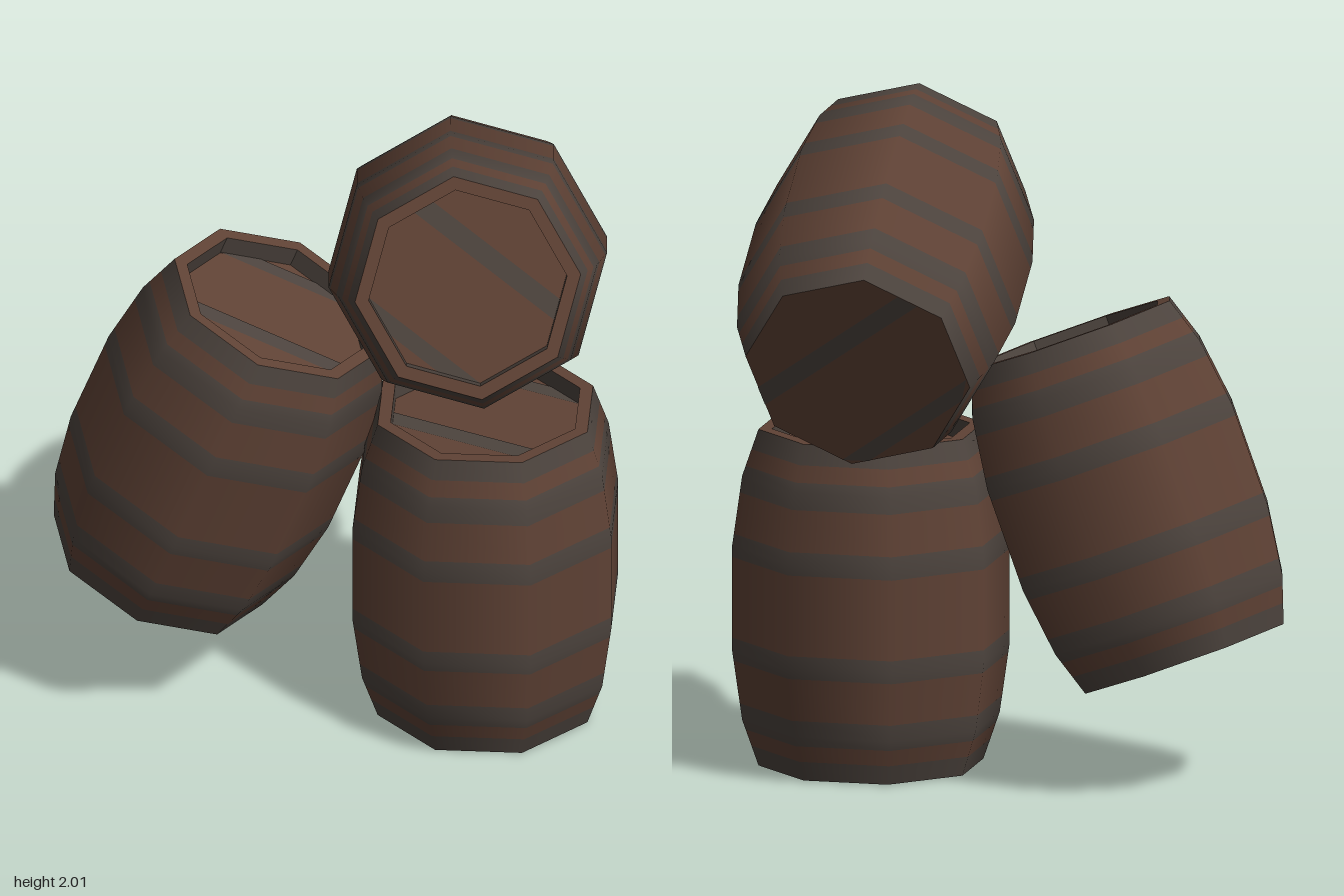
import * as THREE from 'three';

const SIDES = 8, HEIGHT = 1.02, RIM = 0.338, INNER = 0.297, DEPTH = 0.06;

const brown = new THREE.MeshStandardMaterial({ color: 0x5f4235 });
brown.name = 'brown wood';
const grey = new THREE.MeshStandardMaterial({ color: 0x4d443e });
grey.name = 'grey band';

// bulging side: [height, radius] corners
const PROFILE = [[0, RIM], [0.14, 0.387], [0.35, 0.417], [0.67, 0.417], [0.88, 0.387], [HEIGHT, RIM]];
// grey bands: [from, to]
const BANDS = [[0, 0.06], [0.11, 0.19], [0.32, 0.39], [0.635, 0.705], [0.83, 0.91], [0.96, HEIGHT]];

function radiusAt(y) {
  const i = Math.max(1, PROFILE.findIndex(p => p[0] >= y));
  const [y0, r0] = PROFILE[i - 1], [y1, r1] = PROFILE[i];
  return r0 + (r1 - r0) * (y - y0) / (y1 - y0);
}

// staves with one material group per row and side
function staveGeometry() {
  const ys = [...new Set([...PROFILE.map(p => p[0]), ...BANDS.flat()])].sort((a, b) => a - b);
  const geo = new THREE.LatheGeometry(ys.map(y => new THREE.Vector2(radiusAt(y), y)), SIDES);
  const rows = ys.length - 1;
  for (let s = 0; s < SIDES; s++) {
    for (let r = 0; r < rows; r++) {
      const mid = (ys[r] + ys[r + 1]) / 2;
      const banded = BANDS.some(([a, b]) => mid > a && mid < b);
      geo.addGroup((s * rows + r) * 6, 6, banded ? 1 : 0);
    }
  }
  return geo;
}

// plate across an octagon of radius R, between two chords
function stripeGeometry(R, z0, z1) {
  const half = z => Math.min(R - 0.414 * Math.abs(z), 2.414 * (R - Math.abs(z)));
  return new THREE.ShapeGeometry(new THREE.Shape([
    new THREE.Vector2(-half(z0), z0), new THREE.Vector2(half(z0), z0),
    new THREE.Vector2(half(z1), z1), new THREE.Vector2(-half(z1), z1),
  ]));
}

function addMesh(group, name, geo, material) {
  const mesh = new THREE.Mesh(geo, material);
  mesh.name = name;
  group.add(mesh);
}

// striped end board, facing up (dir 1) or down (dir -1)
function addEnd(group, name, R, y, dir) {
  const place = (geo, h) => geo.rotateX(-dir * Math.PI / 2).translate(0, h, 0);
  addMesh(group, name, place(new THREE.CircleGeometry(R, SIDES), y), brown);
  for (const [a, b] of [[0.075, 0.135], [-0.26, -0.21]]) {
    const [z0, z1] = dir > 0 ? [-b, -a] : [a, b];
    addMesh(group, name + 'Stripe', place(stripeGeometry(R, z0, z1), y + dir * 0.003), grey);
  }
}

// barrel from its base centre to its top centre; corner points at one rim corner
function makeBarrel(name, base, top, corner) {
  const g = new THREE.Group();
  g.name = name;
  addMesh(g, 'staves', staveGeometry(), [brown, grey]);
  addMesh(g, 'rim', new THREE.RingGeometry(INNER, RIM, SIDES).rotateX(-Math.PI / 2).translate(0, HEIGHT, 0), brown);
  const wall = new THREE.LatheGeometry([
    new THREE.Vector2(INNER, HEIGHT), new THREE.Vector2(INNER, HEIGHT - DEPTH),
  ], SIDES).toNonIndexed();
  wall.computeVertexNormals();
  addMesh(g, 'innerRim', wall, grey);
  addEnd(g, 'lid', INNER, HEIGHT - DEPTH, 1);
  addEnd(g, 'bottom', RIM, 0, -1);

  const b = new THREE.Vector3(...base);
  const Y = new THREE.Vector3(...top).sub(b).normalize();
  const X = new THREE.Vector3().crossVectors(Y, new THREE.Vector3(...corner)).normalize();
  const Z = new THREE.Vector3().crossVectors(X, Y);
  g.quaternion.setFromRotationMatrix(new THREE.Matrix4().makeBasis(X, Y, Z));
  g.position.copy(b);
  return g;
}

export function createModel() {
  const model = new THREE.Group();
  model.name = 'barrelStack';
  model.add(
    makeBarrel('uprightBarrel', [0.405, 0, -0.018], [0.405, HEIGHT, -0.018], [0, 0, 1]),
    makeBarrel('leaningBarrel', [-0.532, 0.385, 0.28], [-0.17, 1.345, 0.195], [0.27, 0, 0.95]),
    makeBarrel('topBarrel', [0.13, 1.29, -0.457], [0.539, 1.692, 0.372], [0.138, 0.243, -0.186]),
  );
  return model;
}
